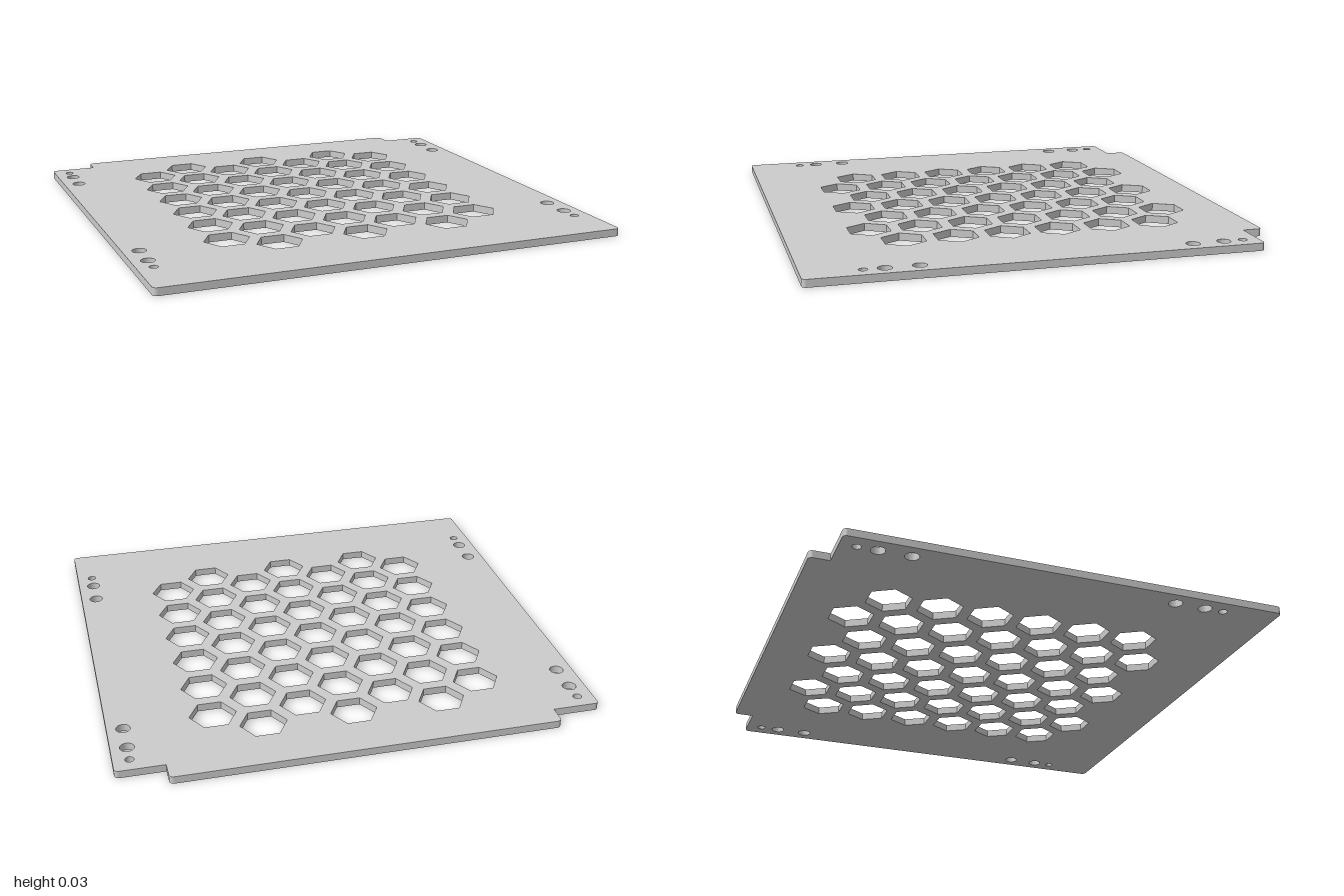
import * as THREE from 'three';

const THICKNESS = 0.032;
const HALF_W = 1, HALF_D = 0.97;      // overall half width and depth
const TAB_X = 0.8, SHOULDER_Z = -0.885; // raised rear tab
const PATTERN_Z = -0.042;             // centre of the hole pattern
const PITCH = 0.218, HEX_R = 0.098;

// Shapes are drawn in (x, -z) so the extrusion can be laid flat.
function outline() {
  const s = new THREE.Shape();
  const r = 0.018, back = HALF_D, sh = -SHOULDER_Z;
  s.moveTo(-HALF_W + r, -HALF_D);
  s.lineTo(HALF_W - r, -HALF_D);
  s.absarc(HALF_W - r, -HALF_D + r, r, -Math.PI / 2, 0);
  s.lineTo(HALF_W, sh - r);
  s.absarc(HALF_W - r, sh - r, r, 0, Math.PI / 2);
  s.lineTo(TAB_X, sh);
  s.lineTo(TAB_X, back - r);
  s.absarc(TAB_X - r, back - r, r, 0, Math.PI / 2);
  s.lineTo(-TAB_X + r, back);
  s.absarc(-TAB_X + r, back - r, r, Math.PI / 2, Math.PI);
  s.lineTo(-TAB_X, sh);
  s.lineTo(-HALF_W + r, sh);
  s.absarc(-HALF_W + r, sh - r, r, Math.PI / 2, Math.PI);
  s.lineTo(-HALF_W, -HALF_D + r);
  s.absarc(-HALF_W + r, -HALF_D + r, r, Math.PI, Math.PI * 1.5);
  return s;
}

// Regular polygon hole; six sides for the vents, many for screw holes.
function hole(x, z, radius, sides) {
  const pts = [];
  for (let i = 0; i < sides; i++) {
    const a = -i * 2 * Math.PI / sides;
    pts.push(new THREE.Vector2(x + radius * Math.cos(a), -z + radius * Math.sin(a)));
  }
  return new THREE.Path(pts);
}

export function createModel() {
  const group = new THREE.Group();
  group.name = 'ventPanel';
  const shape = outline();

  // Honeycomb vents: seven columns alternating six and seven cells
  for (let c = -3; c <= 3; c++) {
    const n = c % 2 === 0 ? 7 : 6;
    for (let i = 0; i < n; i++) {
      const z = PATTERN_Z + (i - (n - 1) / 2) * PITCH;
      shape.holes.push(hole(c * PITCH * Math.sqrt(3) / 2, z, HEX_R, 6));
    }
  }

  // Mounting holes: three near each corner, mirrored both ways
  for (const sx of [-1, 1]) {
    for (const sz of [-1, 1]) {
      for (const [dz, r] of [[0.558, 0.029], [0.692, 0.029], [0.775, 0.018]]) {
        shape.holes.push(hole(sx * 0.933, PATTERN_Z + sz * dz, r, 32));
      }
    }
  }

  const geometry = new THREE.ExtrudeGeometry(shape, {
    depth: THICKNESS, bevelEnabled: false, curveSegments: 8,
  });
  geometry.rotateX(-Math.PI / 2);
  const panel = new THREE.Mesh(geometry, new THREE.MeshStandardMaterial({ color: 0xcccccc }));
  panel.name = 'perforatedPlate';
  group.add(panel);
  return group;
}
